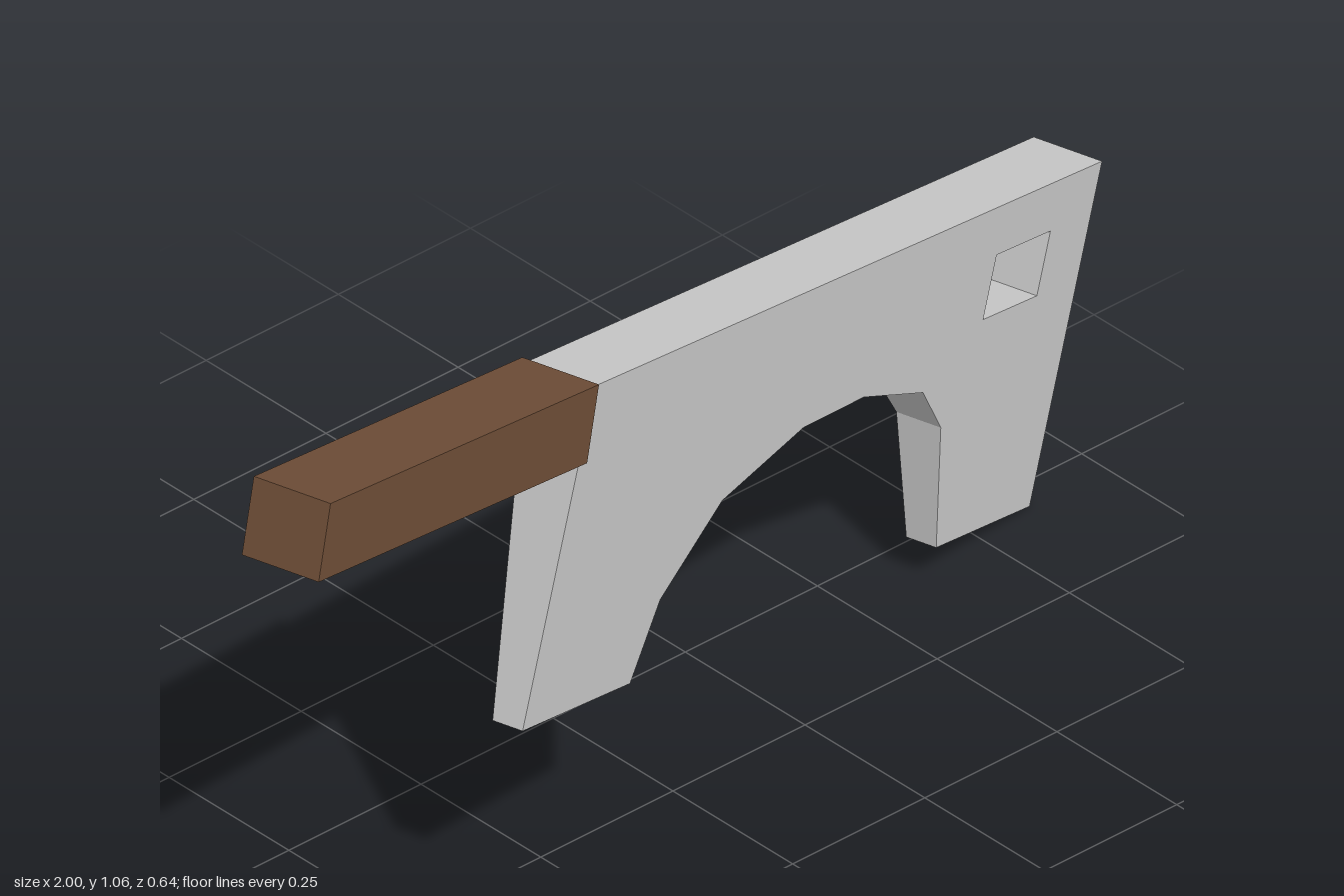
import * as THREE from 'three';

const TILT = THREE.MathUtils.degToRad(15);
// Local frame: origin at the blade's top outer corner, x along the spine, y up, z across the thickness.
const LENGTH = 1.358, HEIGHT = 0.533;
const SPINE_HALF = 0.057, EDGE_HALF = 0.025;

const toPoints = (list) => list.map(([x, y]) => new THREE.Vector2(x, y));

function createBlade() {
  // Outline with the arched cut-out in the lower edge
  const outline = new THREE.Shape(toPoints([
    [-LENGTH, 0], [-LENGTH, -HEIGHT], [-1.07, -HEIGHT],
    [-1.033, -0.413], [-0.911, -0.291], [-0.716, -0.228], [-0.557, -0.222],
    [-0.385, -0.259], [-0.311, -0.332], [-0.25, -HEIGHT],
    [0, -HEIGHT], [0, 0],
  ]));
  // Hanging hole
  outline.holes.push(new THREE.Path(toPoints([
    [-0.253, -0.08], [-0.109, -0.08], [-0.109, -0.18], [-0.253, -0.18],
  ])));
  const geometry = new THREE.ExtrudeGeometry(outline, { depth: 2, bevelEnabled: false });
  geometry.translate(0, 0, -1);

  // Taper the thickness from the spine down to the lower edge
  const pos = geometry.attributes.position;
  for (let i = 0; i < pos.count; i++) {
    const half = THREE.MathUtils.lerp(SPINE_HALF, EDGE_HALF, -pos.getY(i) / HEIGHT);
    pos.setZ(i, pos.getZ(i) * half);
  }
  geometry.computeVertexNormals();
  const blade = new THREE.Mesh(geometry, new THREE.MeshStandardMaterial({ color: 0xcccccc, flatShading: true }));
  blade.name = 'blade';
  return blade;
}

function createHandle() {
  // Square-cut grip, a little thicker than the spine
  const left = -2.079, right = -1.36, bottom = -0.114, top = 0.005;
  const handle = new THREE.Mesh(
    new THREE.BoxGeometry(right - left, top - bottom, 0.128),
    new THREE.MeshStandardMaterial({ color: 0x6f4e37, flatShading: true }),
  );
  handle.position.set((left + right) / 2, (top + bottom) / 2, 0);
  handle.name = 'handle';
  return handle;
}

export function createModel() {
  const cleaver = new THREE.Group();
  cleaver.name = 'cleaver';
  cleaver.add(createBlade(), createHandle());

  // Whole tool is tipped down and turned away
  cleaver.rotation.set(0, TILT, -TILT, 'YXZ');
  cleaver.position.set(0.983, 0.515, -0.26);

  const model = new THREE.Group();
  model.add(cleaver);
  return model;
}
